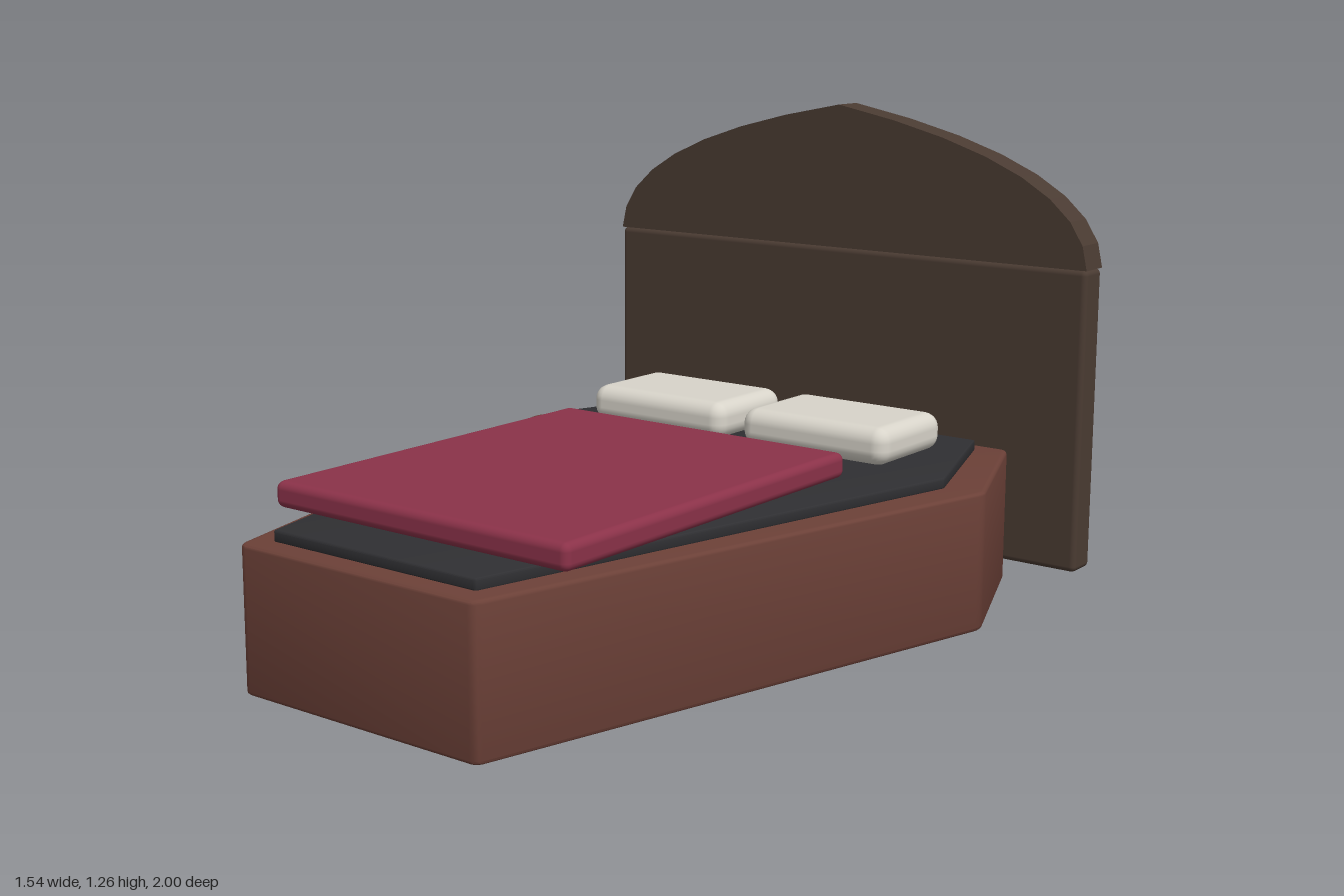
import * as THREE from 'three';
import { RoundedBoxGeometry } from 'three/addons/geometries/RoundedBoxGeometry.js';
import { mergeVertices, toCreasedNormals } from 'three/addons/utils/BufferGeometryUtils.js';

const material = (color) => new THREE.MeshStandardMaterial({ color });

function addMesh(parent, name, geometry, mat, x = 0, y = 0, z = 0) {
  const mesh = new THREE.Mesh(geometry, mat);
  mesh.name = name;
  mesh.position.set(x, y, z);
  parent.add(mesh);
  return mesh;
}

// Box given by its extents, with softened edges
function softBox(parent, name, min, max, radius, mat, segments = 3) {
  const size = max.map((v, i) => v - min[i]);
  const centre = max.map((v, i) => (v + min[i]) / 2);
  return addMesh(parent, name, new RoundedBoxGeometry(...size, segments, radius), mat, ...centre);
}

// Mirrored six-sided slab from three [halfWidth, z] corners, with bevelled rims
function coffinSlab(corners, height, bevel, cornerRadius) {
  const right = corners.map(([x, z]) => new THREE.Vector2(x, -z));
  const left = right.map((p) => new THREE.Vector2(-p.x, p.y)).reverse();
  const outline = [...right, ...left];
  const shape = new THREE.Shape();
  outline.forEach((p, i) => {
    const prev = outline[(i + outline.length - 1) % outline.length];
    const next = outline[(i + 1) % outline.length];
    const a = p.clone().add(prev.clone().sub(p).setLength(cornerRadius));
    const b = p.clone().add(next.clone().sub(p).setLength(cornerRadius));
    if (i === 0) shape.moveTo(a.x, a.y);
    else shape.lineTo(a.x, a.y);
    shape.quadraticCurveTo(p.x, p.y, b.x, b.y);
  });
  shape.closePath();
  const geometry = new THREE.ExtrudeGeometry(shape, {
    depth: height - 2 * bevel, curveSegments: 3,
    bevelEnabled: true, bevelThickness: bevel, bevelSize: bevel,
    bevelOffset: -bevel, bevelSegments: 3,
  });
  geometry.translate(0, 0, bevel);
  geometry.rotateX(-Math.PI / 2);
  return toCreasedNormals(geometry, 0.6);
}

export function createModel() {
  const bed = new THREE.Group();
  bed.name = 'bed';

  const wood = material(0x6b4037);
  const darkWood = material(0x4a3b32);
  const sheet = material(0x2f2f32);
  const cloth = material(0x8b3249);
  const linen = material(0xd8d4ca);

  // Coffin-shaped base and mattress
  addMesh(bed, 'base', coffinSlab([[0.36, 1], [0.74, -0.46], [0.56, -0.91]], 0.36, 0.01, 0.02), wood);
  addMesh(bed, 'mattress',
    coffinSlab([[0.31, 0.94], [0.64, -0.43], [0.49, -0.855]], 0.03, 0.005, 0.005), sheet, 0, 0.357, 0);

  // Blanket
  softBox(bed, 'blanket', [-0.45, 0.39, -0.27], [0.45, 0.455, 0.81], 0.02, cloth);

  // Pillows
  for (const [name, side] of [['leftPillow', 1], ['rightPillow', -1]]) {
    const pillow = softBox(bed, name, [0.03, 0.39, -0.7], [0.48, 0.49, -0.4], 0.04, linen);
    pillow.position.x *= side;
  }

  // Headboard panel
  softBox(bed, 'headboardPanel', [-0.77, 0.05, -1], [0.77, 0.865, -0.91], 0.015, darkWood);

  // Pointed arch on top of the headboard
  const arch = new THREE.Shape();
  arch.moveTo(-0.77, 0.865);
  arch.lineTo(0.77, 0.865);
  arch.quadraticCurveTo(0.76, 1.13, 0, 1.265);
  arch.quadraticCurveTo(-0.76, 1.13, -0.77, 0.865);
  const archGeometry = new THREE.ExtrudeGeometry(arch, { depth: 0.09, curveSegments: 8, bevelEnabled: false });
  addMesh(bed, 'headboardArch', archGeometry, darkWood, 0, 0, -1);

  return bed;
}
